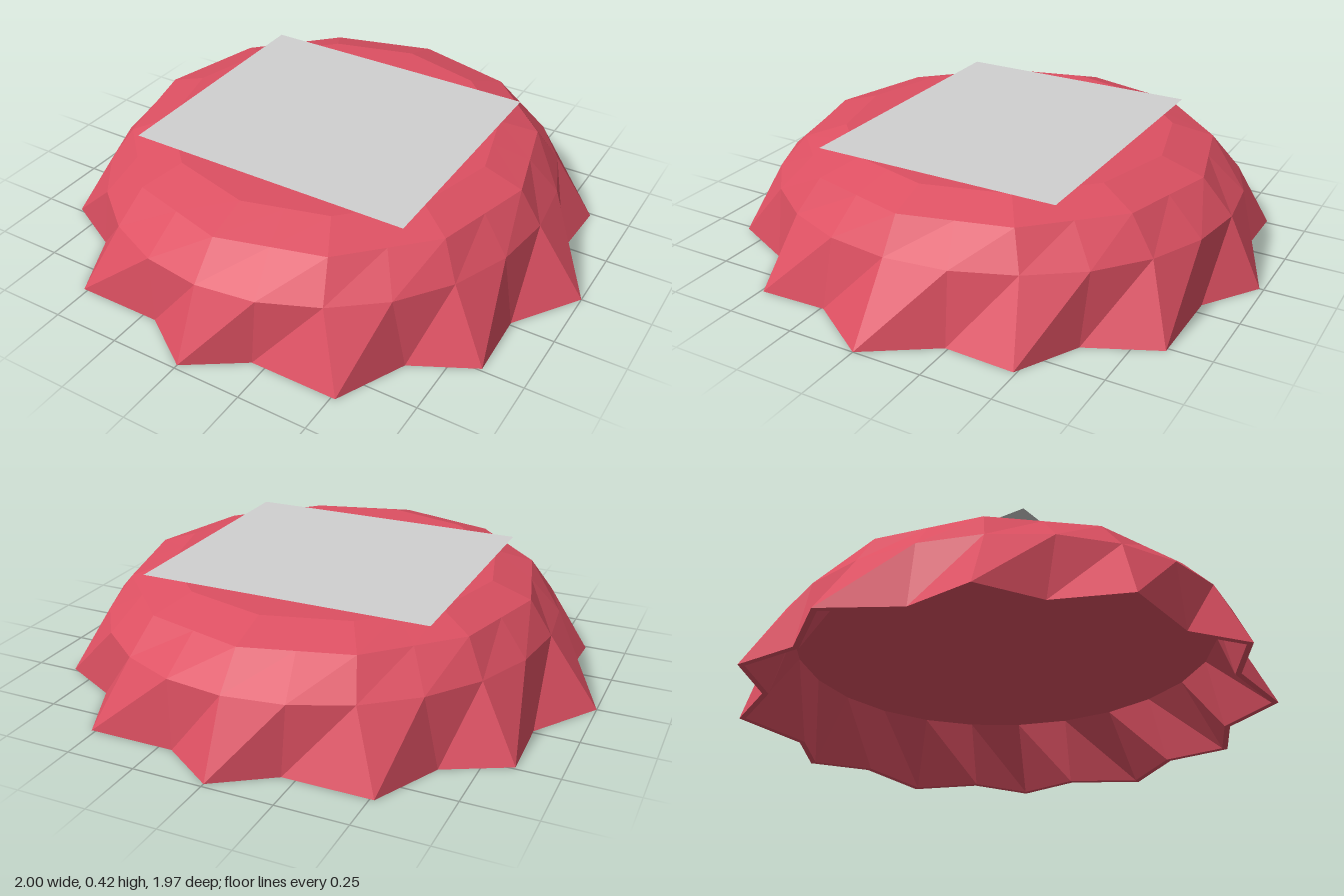
import * as THREE from 'three';

// One quarter of the fluted hem as [x, z], from the side (+x) to the front (+z)
const HEM = [[1, 0], [0.84, 0.24], [0.85, 0.49], [0.63, 0.605], [0.515, 0.85], [0.2, 0.85], [0, 0.985]];

// Mirrors a quarter outline into a closed 24-point loop
function mirrorQuarter(q) {
  const half = [...q, ...q.slice(0, -1).reverse().map(([x, z]) => [-x, z])];
  return [...half, ...half.slice(1, -1).reverse().map(([x, z]) => [x, -z])];
}

function ellipse(rx, rz) {
  return Array.from({ length: 24 }, (_, i) => {
    const a = (i * Math.PI) / 12;
    return [rx * Math.cos(a), rz * Math.sin(a)];
  });
}

// Twelve-sided loop with a point in the middle of every side
function dodecagon(rx, rz) {
  const e = ellipse(rx, rz);
  return e.map((p, i) => (i % 2 === 0 ? p
    : [0, 1].map((k) => (e[i - 1][k] + e[(i + 1) % 24][k]) / 2)));
}

// Joins stacked loops into a faceted skin and closes the last loop with a fan
function skin(rings) {
  const pos = [];
  const push = (...pts) => pts.forEach((p) => pos.push(...p));
  const loops = rings.map(({ y, loop }) => loop.map(([x, z]) => [x, y, z]));
  for (let r = 0; r < loops.length - 1; r++) {
    for (let i = 0; i < 24; i++) {
      const j = (i + 1) % 24;
      const a = loops[r][i], b = loops[r][j], c = loops[r + 1][j], d = loops[r + 1][i];
      push(a, d, b, b, d, c);
    }
  }
  const last = loops[loops.length - 1];
  for (let i = 0; i < 24; i++) push([0, last[0][1], 0], last[(i + 1) % 24], last[i]);
  const g = new THREE.BufferGeometry();
  g.setAttribute('position', new THREE.Float32BufferAttribute(pos, 3));
  g.computeVertexNormals();
  return g;
}

export function createModel() {
  const group = new THREE.Group();
  const red = new THREE.MeshStandardMaterial({ color: 0xdd5062, flatShading: true, side: THREE.DoubleSide });
  const grey = new THREE.MeshStandardMaterial({ color: 0xd0d0d0, side: THREE.DoubleSide });
  red.name = 'capRed';
  grey.name = 'panelGrey';

  const hem = mirrorQuarter(HEM);
  const innerHem = hem.map(([x, z]) => [x * 0.975, z * 0.975]);

  // Outer skin: fluted skirt, shoulder, bevel and flat top
  const shell = new THREE.Mesh(skin([
    { y: 0, loop: hem },
    { y: 0.25, loop: ellipse(0.82, 0.865) },
    { y: 0.37, loop: dodecagon(0.74, 0.755) },
    { y: 0.418, loop: dodecagon(0.6, 0.6) },
  ]), red);
  shell.name = 'crimpedShell';
  group.add(shell);

  // Thin rim, inside of the skirt and the flat ceiling
  const lining = new THREE.Mesh(skin([
    { y: 0, loop: hem },
    { y: 0, loop: innerHem },
    { y: 0.25, loop: ellipse(0.77, 0.8) },
  ]), red);
  // Turn the faces so that they look downward and inward
  const p = lining.geometry.attributes.position;
  const v = new THREE.Vector3(), w = new THREE.Vector3();
  for (let i = 0; i < p.count; i += 3) {
    v.fromBufferAttribute(p, i + 1);
    w.fromBufferAttribute(p, i + 2);
    p.setXYZ(i + 1, w.x, w.y, w.z);
    p.setXYZ(i + 2, v.x, v.y, v.z);
  }
  lining.geometry.computeVertexNormals();
  lining.name = 'innerLining';
  group.add(lining);

  // Flat rectangular panel lying on the top
  const panel = new THREE.Mesh(new THREE.PlaneGeometry(1.07, 0.925), grey);
  panel.rotation.x = -Math.PI / 2;
  panel.position.set(-0.004, 0.421, 0);
  panel.name = 'topPanel';
  group.add(panel);

  return group;
}
